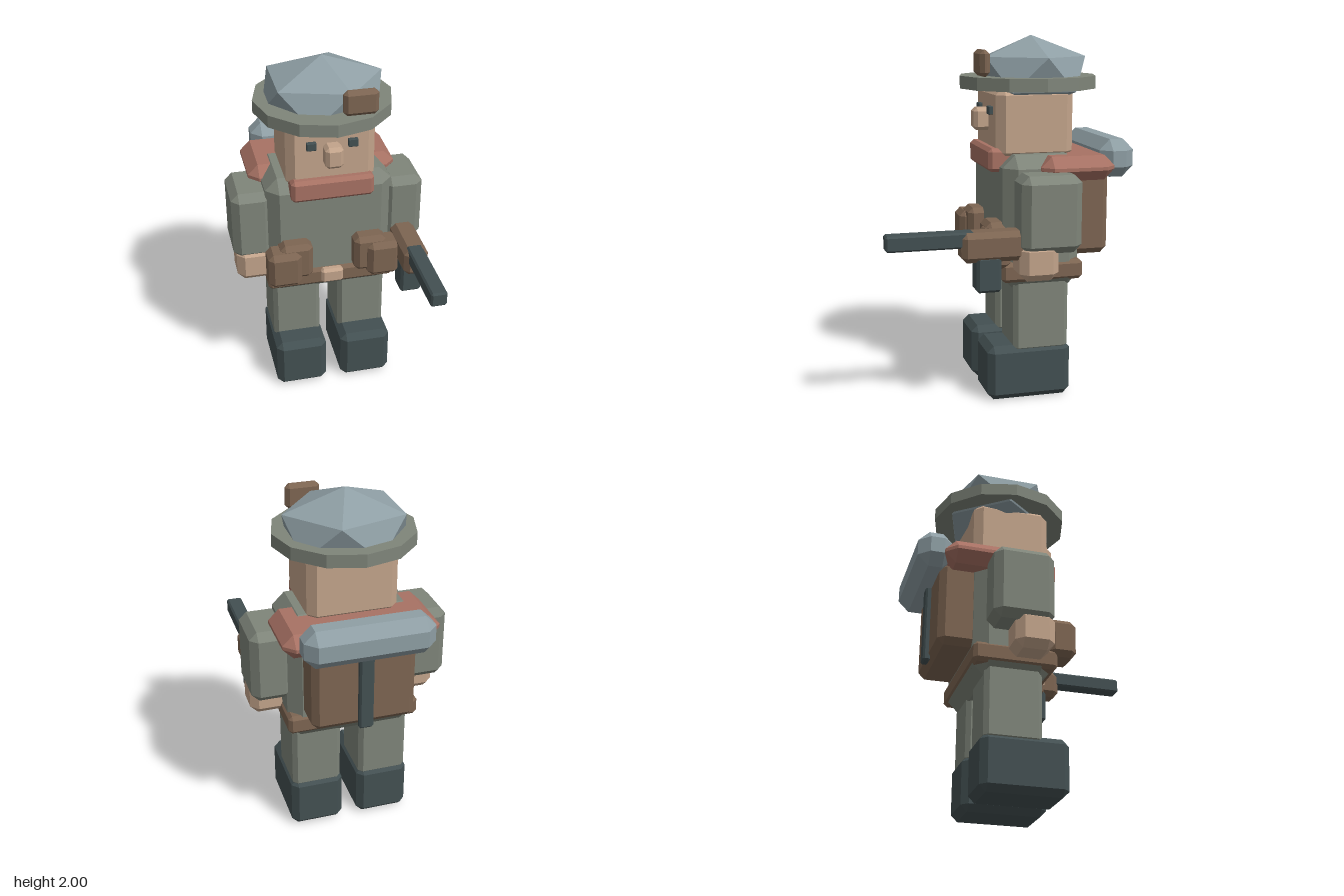
import * as THREE from 'three';
import { ConvexGeometry } from 'three/addons/geometries/ConvexGeometry.js';

function material(name, color) {
  const m = new THREE.MeshStandardMaterial({ color });
  m.name = name;
  return m;
}

export function createModel() {
  const group = new THREE.Group();
  const cloth = material('grey green cloth', 0x7f857a);
  const leather = material('brown leather', 0x7d6552);
  const skin = material('skin', 0xc3a48b);
  const red = material('faded red', 0xa87264);
  const steel = material('blue grey', 0x8f9fa5);
  const dark = material('dark slate', 0x435052);

  function add(name, geometry, mat) {
    const mesh = new THREE.Mesh(geometry, mat);
    mesh.name = name;
    group.add(mesh);
    return mesh;
  }

  // Box with every edge cut at 45 degrees, given by its extents
  function box(name, mat, [x0, x1], [y0, y1], [z0, z1], c) {
    const half = [(x1 - x0) / 2, (y1 - y0) / 2, (z1 - z0) / 2];
    const points = [];
    for (const sx of [-1, 1]) for (const sy of [-1, 1]) for (const sz of [-1, 1])
      for (let axis = 0; axis < 3; axis++) {
        const h = half.map((v, i) => (i === axis ? v : v - c));
        points.push(new THREE.Vector3(sx * h[0], sy * h[1], sz * h[2]));
      }
    const mesh = add(name, new ConvexGeometry(points), mat);
    mesh.position.set((x0 + x1) / 2, (y0 + y1) / 2, (z0 + z1) / 2);
    return mesh;
  }

  // The same box on both sides of the body
  function pair(name, mat, [x0, x1], y, z, c) {
    box('left' + name, mat, [x0, x1], y, z, c);
    box('right' + name, mat, [-x1, -x0], y, z, c);
  }

  // Legs and arms
  pair('Boot', dark, [0.045, 0.345], [0, 0.31], [-0.345, 0.13], 0.036);
  pair('Leg', cloth, [0.055, 0.335], [0.27, 0.7], [-0.33, -0.015], 0.025);
  pair('Arm', cloth, [0.325, 0.55], [0.87, 1.287], [-0.337, -0.005], 0.042);
  pair('Hand', skin, [0.325, 0.535], [0.72, 0.93], [-0.215, 0], 0.042);

  // Body and belt
  box('torso', cloth, [-0.36, 0.36], [0.62, 1.37], [-0.39, 0.04], 0.07);
  box('belt', leather, [-0.37, 0.37], [0.68, 0.79], [-0.4, 0.06], 0.02);
  box('buckle', skin, [-0.065, 0.065], [0.7, 0.79], [0.03, 0.085], 0.015);
  pair('InnerPouch', leather, [0.12, 0.305], [0.785, 1.005], [0, 0.13], 0.028);
  pair('OuterPouch', leather, [0.19, 0.38], [0.76, 0.975], [0.01, 0.165], 0.03);

  // Head
  box('head', skin, [-0.248, 0.248], [1.33, 1.73], [-0.38, 0.055], 0.045);
  box('nose', skin, [-0.05, 0.05], [1.48, 1.605], [0.03, 0.137], 0.02);
  pair('Eye', dark, [0.088, 0.142], [1.575, 1.62], [0.045, 0.078], 0.003);

  // Scarf and shoulder cape
  box('scarf', red, [-0.232, 0.232], [1.27, 1.4], [-0.12, 0.1], 0.02);
  box('shoulderCape', red, [-0.425, 0.425], [1.23, 1.365], [-0.57, -0.155], 0.058);

  // Hat: twelve-sided brim and a squashed icosahedral crown
  const brim = add('hatBrim', new THREE.CylinderGeometry(0.387, 0.387, 0.07, 12).toNonIndexed(), cloth);
  brim.geometry.computeVertexNormals();
  brim.position.set(0, 1.745, -0.18);
  const crownPoints = [new THREE.Vector3(0, 0.208, 0), new THREE.Vector3(0, -0.208, 0)];
  for (let i = 0; i < 5; i++) {
    const a = (i * Math.PI * 2) / 5;
    const p = new THREE.Vector3(0.335 * Math.cos(a), 0.093, 0.3 * Math.sin(a));
    crownPoints.push(p, p.clone().negate());
  }
  add('hatCrown', new ConvexGeometry(crownPoints), steel).position.set(0, 1.792, -0.2);
  box('hatPatch', leather, [0.045, 0.235], [1.785, 1.927], [0.09, 0.145], 0.022);

  // Backpack with bedroll and strap
  box('backpack', leather, [-0.285, 0.285], [0.795, 1.28], [-0.575, -0.3], 0.035);
  box('bedroll', steel, [-0.35, 0.35], [1.23, 1.44], [-0.707, -0.51], 0.06);
  box('packStrap', dark, [-0.04, 0.04], [0.79, 1.27], [-0.605, -0.565], 0.01);

  // Rifle held along the left side
  box('rifleStock', leather, [0.362, 0.5], [0.835, 0.997], [-0.15, 0.31], 0.03);
  box('rifleBarrel', dark, [0.385, 0.475], [0.915, 1.0], [0.235, 0.705], 0.01);
  box('rifleMagazine', dark, [0.367, 0.49], [0.67, 0.865], [0.095, 0.23], 0.015);

  return group;
}
